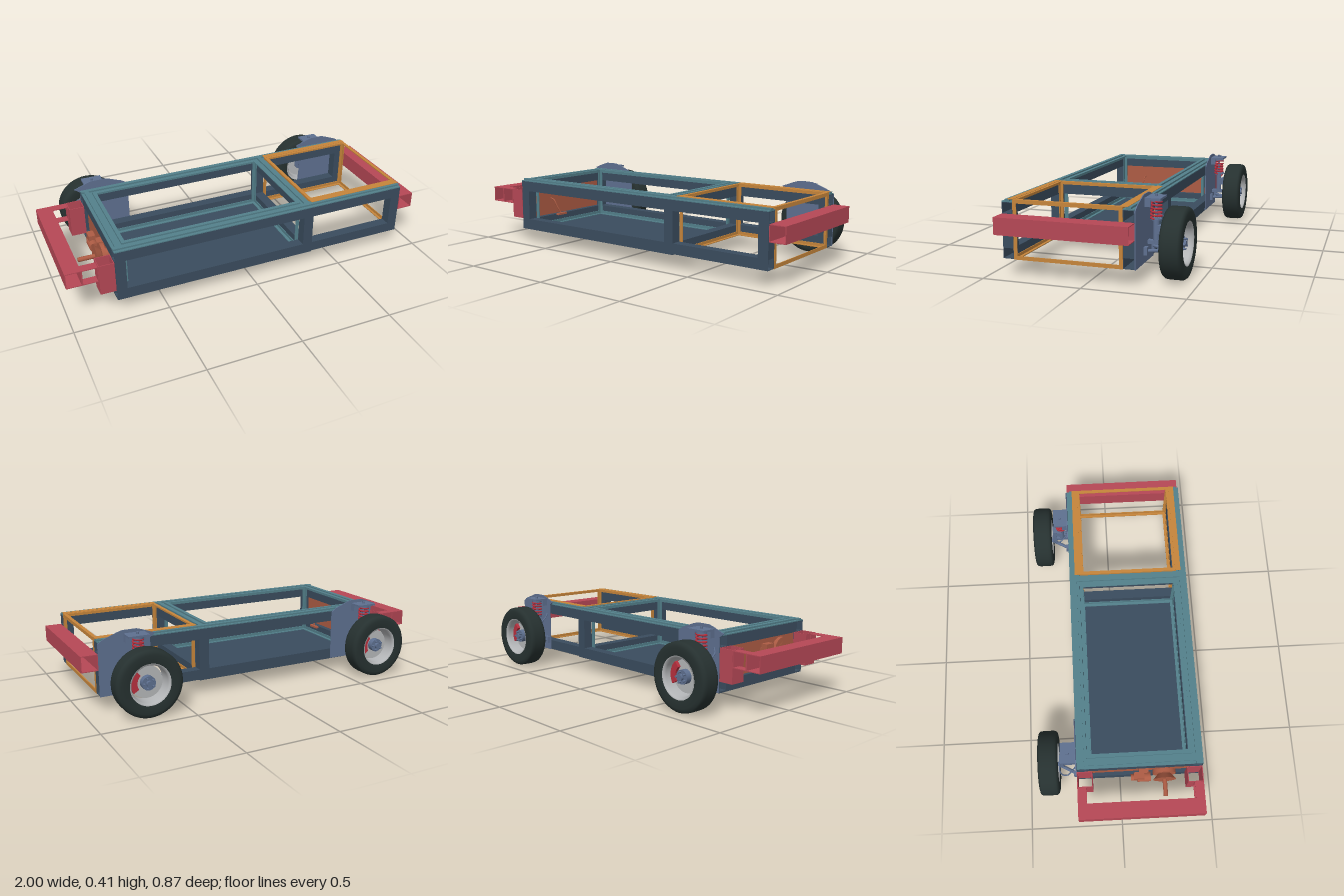
import * as THREE from 'three';

const mat = (name, color, side = THREE.FrontSide) => {
  const m = new THREE.MeshStandardMaterial({ color, side });
  m.name = name;
  return m;
};

export function createModel() {
  const root = new THREE.Group();
  root.name = 'rollingChassis';
  const navy = mat('navy steel', 0x3a4c5e), teal = mat('teal trim', 0x53808b);
  const orange = mat('orange frame', 0xc6853b), red = mat('bumper red', 0xb64856);
  const blue = mat('suspension blue', 0x5e7090), rust = mat('rust brown', 0xad5c44);
  const rubber = mat('tyre rubber', 0x263130, THREE.DoubleSide);
  const rimGrey = mat('rim grey', 0xb4b6b8, THREE.DoubleSide);
  const bright = mat('spring red', 0xb8303e);

  const add = (parent, name, geo, m, x = 0, y = 0, z = 0) => {
    const mesh = new THREE.Mesh(geo, m);
    mesh.name = name;
    mesh.position.set(x, y, z);
    parent.add(mesh);
    return mesh;
  };
  // Box given by its limits
  const box = (parent, name, m, x0, x1, y0, y1, z0, z1) =>
    add(parent, name, new THREE.BoxGeometry(x1 - x0, y1 - y0, z1 - z0), m,
      (x0 + x1) / 2, (y0 + y1) / 2, (z0 + z1) / 2);
  // Open rectangular tube along an axis, wall thickness t
  const tube = (parent, name, m, axis, x0, x1, y0, y1, z0, z1, t = 0.004) => {
    const s = { x: x1 - x0, y: y1 - y0, z: z1 - z0 };
    const w = (axis === 'x' ? s.z : s.x) / 2, h = (axis === 'y' ? s.z : s.y) / 2;
    const rect = (C, a, b) => new C([[-a, -b], [a, -b], [a, b], [-a, b]].map(p => new THREE.Vector2(...p)));
    const shape = rect(THREE.Shape, w, h);
    shape.holes.push(rect(THREE.Path, w - t, h - t));
    const geo = new THREE.ExtrudeGeometry(shape, { depth: s[axis], bevelEnabled: false });
    geo.translate(0, 0, -s[axis] / 2);
    if (axis === 'x') geo.rotateY(Math.PI / 2);
    if (axis === 'y') geo.rotateX(Math.PI / 2);
    return add(parent, name, geo, m, (x0 + x1) / 2, (y0 + y1) / 2, (z0 + z1) / 2);
  };
  // Cage of angle bars: a flat ring on each face of a box
  const angleCage = (name, m, x0, x1, y0, y1, z0, z1, w) => {
    const g = new THREE.Group(), t = 0.004;
    g.name = name;
    for (const x of [x0, x1 - t]) tube(g, 'endRing', m, 'x', x, x + t, y0, y1, z0, z1, w);
    for (const y of [y0, y1 - t]) tube(g, 'levelRing', m, 'y', x0, x1, y, y + t, z0, z1, w);
    for (const z of [z0, z1 - t]) tube(g, 'sideRing', m, 'z', x0, x1, y0, y1, z, z + t, w);
    root.add(g);
  };

  // Main frame: hollow long rails, posts and top trim on each side
  const rails = [[-0.23, -0.175], [0.38, 0.435]];
  for (const [z0, z1] of rails) {
    tube(root, 'lowerRail', navy, 'x', -0.75, 0.91, 0.082, 0.137, z0, z1, 0.003);
    tube(root, 'upperRail', navy, 'x', -0.75, 0.91, 0.303, 0.359, z0, z1, 0.003);
    box(root, 'railTopTrim', teal, -0.75, 0.91, 0.359, 0.364, z0, z1);
    const c = (z0 + z1) / 2;
    box(root, 'railTopStrip', teal, -0.75, 0.91, 0.364, 0.373, c - 0.012, c + 0.012);
    for (const x of [-0.75, 0.305, 0.855])
      box(root, 'post', navy, x, x + 0.055, 0.137, 0.303, z0, z1);
  }
  // Cross members
  for (const x of [-0.75, 0.305]) {
    box(root, 'lowerCrossMember', navy, x, x + 0.055, 0.082, 0.137, -0.175, 0.38);
    box(root, 'upperCrossMember', navy, x, x + 0.055, 0.303, 0.359, -0.175, 0.38);
    box(root, 'crossTopTrim', teal, x, x + 0.055, 0.359, 0.364, -0.175, 0.38);
    box(root, 'crossTopStrip', teal, x + 0.016, x + 0.04, 0.364, 0.373, -0.2, 0.405);
  }
  box(root, 'floorPanel', navy, -0.75, 0.36, 0.077, 0.082, -0.23, 0.435);
  angleCage('mainBayLining', teal, -0.694, 0.304, 0.083, 0.372, -0.174, 0.379, 0.02);
  angleCage('rearBayFrame', orange, 0.361, 0.911, 0.08, 0.374, -0.174, 0.379, 0.019);
  for (const [z0, z1] of [[-0.2, -0.17], [0.375, 0.405]])
    box(root, 'rearBayFlange', orange, 0.361, 0.911, 0.3735, 0.3755, z0, z1);

  // Bumpers and their brackets, all open tubes
  tube(root, 'rearBumper', red, 'z', 0.912, 1, 0.218, 0.303, -0.232, 0.435);
  tube(root, 'frontBumper', red, 'z', -1, -0.918, 0.218, 0.303, -0.232, 0.435);
  for (const [z0, z1, v0, v1] of [[-0.232, -0.185, -0.232, -0.15], [0.387, 0.435, 0.353, 0.435]]) {
    tube(root, 'bumperArm', red, 'z', -0.918, -0.835, 0.218, 0.303, z0, z1);
    tube(root, 'bumperBracket', red, 'y', -0.834, -0.752, 0.137, 0.305, v0, v1);
  }

  // Bulkhead with brake servo, cylinder and pedal
  box(root, 'bulkhead', rust, -0.73, -0.724, 0.137, 0.303, -0.175, 0.38);
  const along = (name, r0, r1, len, x, y, z, axis = 'x') => {
    const g = new THREE.CylinderGeometry(r0, r1, len, 24);
    if (axis === 'x') g.rotateZ(Math.PI / 2); else g.rotateX(Math.PI / 2);
    add(root, name, g, rust, x, y, z);
  };
  along('servoBack', 0.062, 0.062, 0.02, -0.762, 0.235, 0.235);
  along('servoFront', 0.062, 0.035, 0.03, -0.787, 0.235, 0.235);
  along('servoMount', 0.03, 0.03, 0.03, -0.74, 0.235, 0.235);
  along('masterCylinder', 0.012, 0.012, 0.09, -0.845, 0.235, 0.235);
  along('pumpBody', 0.026, 0.026, 0.07, -0.782, 0.235, 0.125, 'z');
  along('pumpEnd', 0.018, 0.018, 0.05, -0.782, 0.235, 0.08, 'z');
  box(root, 'pumpReservoir', rust, -0.8, -0.765, 0.25, 0.285, 0.07, 0.125);
  box(root, 'pumpMount', rust, -0.77, -0.725, 0.215, 0.255, 0.1, 0.15);
  const arm = new THREE.CatmullRomCurve3([
    new THREE.Vector3(-0.724, 0.235, 0.235), new THREE.Vector3(-0.69, 0.225, 0.238),
    new THREE.Vector3(-0.672, 0.185, 0.23), new THREE.Vector3(-0.66, 0.145, 0.213)]);
  add(root, 'pedalArm', new THREE.TubeGeometry(arm, 16, 0.004, 8), rust);
  box(root, 'pedalPad', rust, -0.668, -0.648, 0.137, 0.148, 0.175, 0.245);

  // Shared wheel and suspension profiles, with the wheel axle along z
  const lathe = pts => new THREE.LatheGeometry(pts.map(p => new THREE.Vector2(...p)), 48).rotateX(Math.PI / 2);
  const tyreGeo = lathe([[0.1, -0.045], [0.112, -0.052], [0.15, -0.0535], [0.166, -0.049], [0.173, -0.04],
    [0.1745, -0.025], [0.1745, 0.025], [0.173, 0.04], [0.166, 0.049], [0.15, 0.0535], [0.112, 0.052], [0.1, 0.045]]);
  const barrelGeo = lathe([[0.108, -0.05], [0.1, -0.048], [0.095, -0.035], [0.093, 0.035], [0.1, 0.048], [0.108, 0.05]]);
  const disc = (r, len) => new THREE.CylinderGeometry(r, r, len, 32).rotateX(Math.PI / 2);
  const caliper = new THREE.Shape();
  caliper.absarc(0, 0, 0.088, -0.55, 0.85, false);
  caliper.absarc(0, 0, 0.055, 0.85, -0.55, true);
  const caliperGeo = new THREE.ExtrudeGeometry(caliper, { depth: 0.044, bevelEnabled: false, curveSegments: 12 });
  const plate = new THREE.Shape([[-0.08, 0.08], [0.195, 0.08], [0.195, 0.355], [0.165, 0.375], [0.09, 0.403], [0.065, 0.41],
    [-0.01, 0.41], [-0.035, 0.403], [-0.11, 0.375], [-0.08, 0.355]].map(p => new THREE.Vector2(...p)));
  const plateGeo = new THREE.ExtrudeGeometry(plate, { depth: 0.005, bevelEnabled: false });
  const coil = new THREE.CatmullRomCurve3(Array.from({ length: 81 }, (_, i) => {
    const a = i / 80 * Math.PI * 10;
    return new THREE.Vector3(Math.cos(a) * 0.026, i / 80 * 0.085, Math.sin(a) * 0.026);
  }));
  const coilGeo = new THREE.TubeGeometry(coil, 200, 0.0045, 6);

  for (const [name, cx] of [['front', -0.67], ['rear', 0.717]]) {
    const wheel = new THREE.Group();
    wheel.name = name + 'Wheel';
    wheel.position.set(cx, 0.1745, -0.3835);
    root.add(wheel);
    add(wheel, 'tyre', tyreGeo, rubber);
    add(wheel, 'rimBarrel', barrelGeo, rimGrey);
    add(wheel, 'brakeDisc', disc(0.084, 0.012), rimGrey, 0, 0, 0.012);
    add(wheel, 'hub', disc(0.036, 0.05), blue);
    add(wheel, 'hubCap', disc(0.015, 0.07), blue, 0, 0, -0.005);
    for (let i = 0; i < 5; i++) {
      const a = i / 5 * Math.PI * 2;
      add(wheel, 'wheelStud', disc(0.005, 0.02), blue, Math.cos(a) * 0.026, Math.sin(a) * 0.026, -0.03);
    }
    add(wheel, 'brakeCaliper', caliperGeo, bright, 0, 0, -0.012);

    const susp = new THREE.Group();
    susp.name = name + 'Suspension';
    susp.position.x = cx;
    root.add(susp);
    add(susp, 'mountingPlate', plateGeo, blue, 0, 0, -0.2355);
    box(susp, 'towerTop', blue, -0.05, 0.06, 0.383, 0.393, -0.313, -0.232);
    for (const x of [-0.05, 0.055]) box(susp, 'towerGusset', blue, x, x + 0.005, 0.35, 0.39, -0.265, -0.232);
    const post = (part, r, y0, y1) =>
      add(susp, part, new THREE.CylinderGeometry(r, r, y1 - y0, 20), blue, 0, (y0 + y1) / 2, -0.275);
    post('strutBody', 0.015, 0.16, 0.29);
    post('strutRod', 0.007, 0.29, 0.405);
    post('lowerSpringSeat', 0.028, 0.28, 0.287);
    post('upperSpringSeat', 0.028, 0.37, 0.383);
    add(susp, 'coilSpring', coilGeo, bright, 0, 0.286, -0.275);
    box(susp, 'knuckle', blue, -0.022, 0.022, 0.14, 0.265, -0.325, -0.305);
    box(susp, 'strutClamp', blue, -0.02, 0.02, 0.215, 0.255, -0.31, -0.275);
    box(susp, 'strutFoot', blue, -0.014, 0.014, 0.162, 0.18, -0.325, -0.235);
    // Lower wishbone
    for (const s of [-1, 1]) {
      const path = new THREE.LineCurve3(new THREE.Vector3(s * 0.06, 0.138, -0.235), new THREE.Vector3(0, 0.135, -0.34));
      add(susp, 'wishboneArm', new THREE.TubeGeometry(path, 1, 0.009, 10), blue);
      box(susp, 'wishboneMount', blue, s * 0.06 - 0.014, s * 0.06 + 0.014, 0.12, 0.16, -0.252, -0.232);
    }
    // Brake hose
    const hose = new THREE.CatmullRomCurve3([new THREE.Vector3(-0.05, 0.3, -0.235), new THREE.Vector3(-0.09, 0.28, -0.28),
      new THREE.Vector3(-0.07, 0.24, -0.32), new THREE.Vector3(-0.02, 0.23, -0.325)]);
    add(susp, 'brakeHose', new THREE.TubeGeometry(hose, 20, 0.004, 6), blue);
  }
  return root;
}
